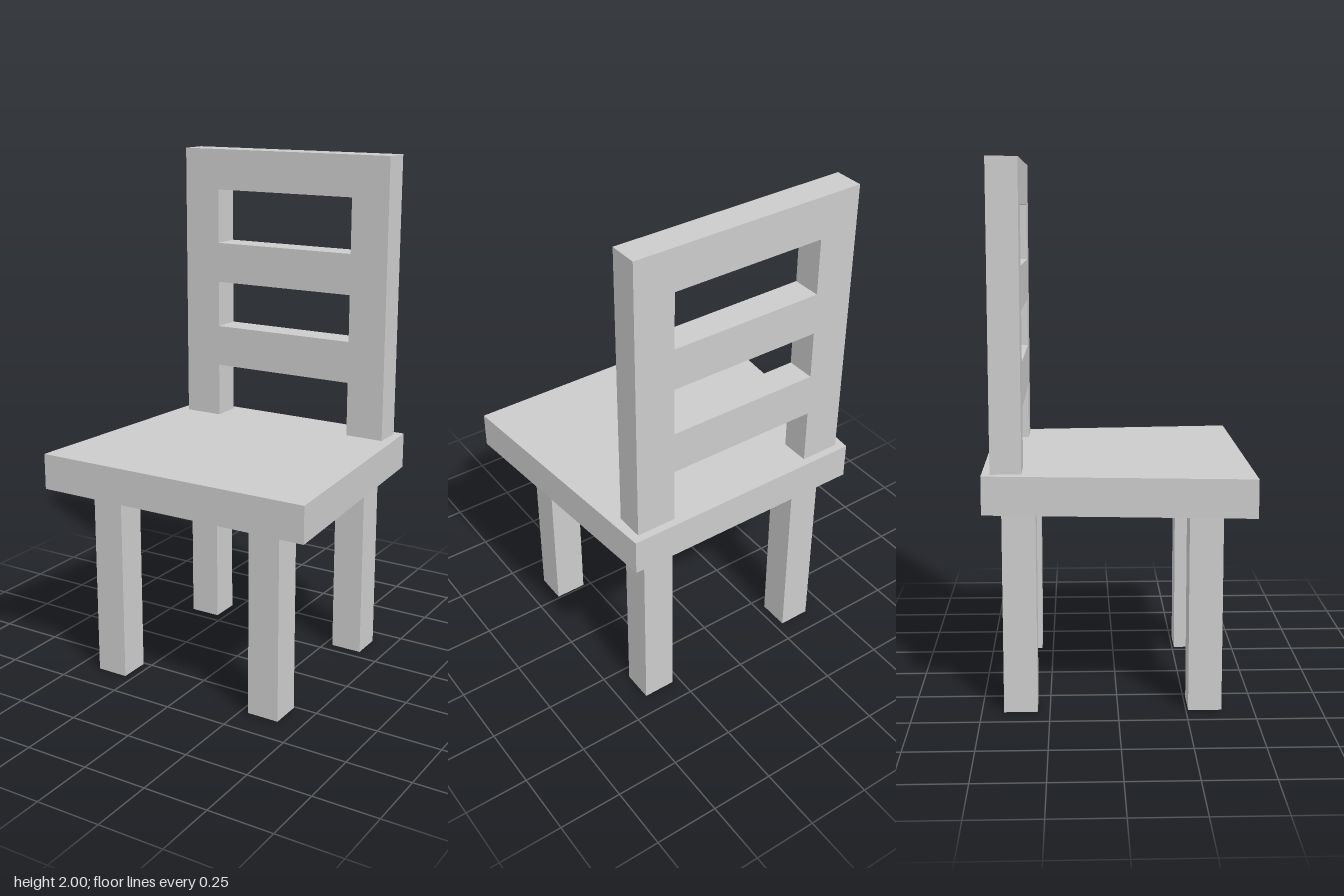
import * as THREE from 'three';

const material = new THREE.MeshStandardMaterial({ color: 0xcccccc, flatShading: true });

function addPart(parent, name, geometry, x = 0, y = 0, z = 0) {
  const mesh = new THREE.Mesh(geometry, material);
  mesh.name = name;
  mesh.position.set(x, y, z);
  parent.add(mesh);
}

const polygon = (points) => points.map(([x, y]) => new THREE.Vector2(x, y));
const extrude = (shape, depth) => new THREE.ExtrudeGeometry(shape, { depth, bevelEnabled: false });

export function createModel() {
  const chair = new THREE.Group();
  chair.name = 'chair';

  // Seat: a slab that widens towards the front
  const seatTop = 0.9, seatBottom = 0.76;
  const outline = new THREE.Shape(polygon([[-0.563, -0.485], [0.563, -0.485], [0.485, 0.485], [-0.485, 0.485]]));
  const seat = extrude(outline, seatTop - seatBottom).rotateX(-Math.PI / 2);
  addPart(chair, 'seat', seat, 0, seatBottom, 0);

  // Backrest: posts and rails in one board, open at the foot, with two slots
  const w = 0.455, h = 0.3;
  const board = new THREE.Shape(polygon([
    [-w, seatTop], [-h, seatTop], [-h, 1.115], [h, 1.115],
    [h, seatTop], [w, seatTop], [w, 2], [-w, 2],
  ]));
  for (const [low, high] of [[1.28, 1.465], [1.625, 1.84]]) {
    board.holes.push(new THREE.Path(polygon([[-h, low], [-h, high], [h, high], [h, low]])));
  }
  addPart(chair, 'backrest', extrude(board, 0.112), 0, 0, -0.455);

  // Four straight square legs
  const leg = new THREE.BoxGeometry(0.126, seatBottom, 0.123);
  for (const [end, z] of [['front', 0.32], ['back', -0.357]]) {
    for (const [side, x] of [['Left', 0.345], ['Right', -0.347]]) {
      addPart(chair, `${end}${side}Leg`, leg, x, seatBottom / 2, z);
    }
  }
  return chair;
}
